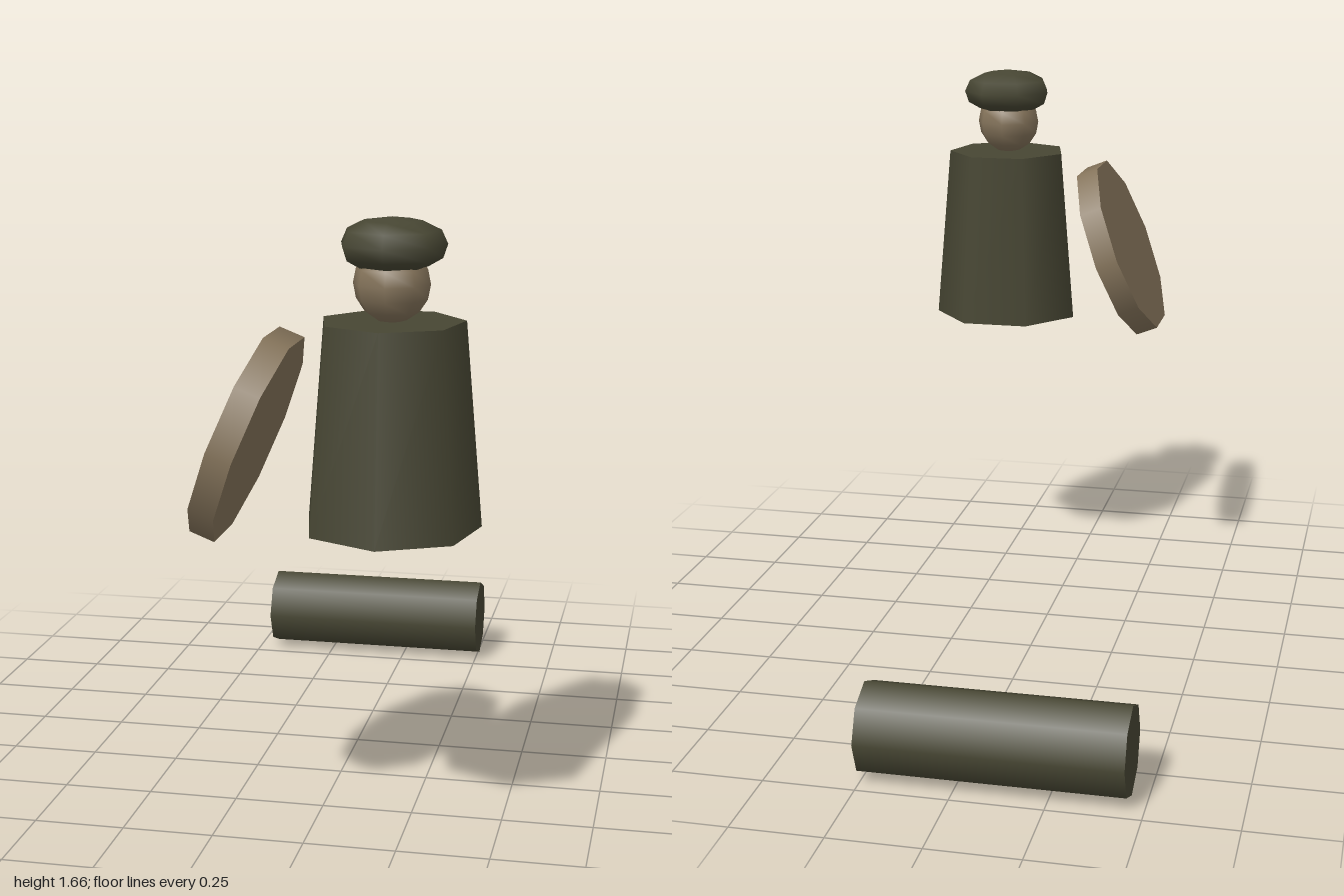
import * as THREE from 'three';

export function createModel() {
  const model = new THREE.Group();
  const olive = new THREE.MeshStandardMaterial({ name: 'dark olive', color: 0x474633 });
  const tan = new THREE.MeshStandardMaterial({ name: 'tan', color: 0x84735a });

  const add = (parent, name, geometry, material, x, y, z, turn = 0) => {
    const mesh = new THREE.Mesh(geometry, material);
    mesh.name = name;
    mesh.position.set(x, y, z);
    mesh.rotation.z = turn;
    parent.add(mesh);
    return mesh;
  };

  // Standing figure: seven-sided coat, round head, flattened cap
  const figure = new THREE.Group();
  figure.name = 'figure';
  figure.position.set(0.227, 0, 0.71);
  model.add(figure);
  add(figure, 'coat', new THREE.CylinderGeometry(0.187, 0.232, 0.53, 7), olive, 0, 1.139, 0);
  add(figure, 'head', new THREE.SphereGeometry(0.098, 8, 8), tan, 0, 1.498, 0.003);

  const capProfile = [
    [0, 1.535], [0.09, 1.54], [0.126, 1.56], [0.138, 1.595],
    [0.122, 1.63], [0.075, 1.653], [0, 1.663],
  ].map(([r, y]) => new THREE.Vector2(r, y));
  add(figure, 'cap', new THREE.LatheGeometry(capProfile, 7), olive, 0, 0, 0);

  // Ten-sided disc leaning toward the figure
  add(model, 'disc', new THREE.CylinderGeometry(0.286, 0.286, 0.07, 10), tan,
    -0.147, 1.101, 0.714, THREE.MathUtils.degToRad(-111.5));

  // Eight-sided roll lying behind
  add(model, 'roll', new THREE.CylinderGeometry(0.125, 0.125, 0.71, 8), olive,
    -0.1, 0.125, -0.875, Math.PI / 2);

  return model;
}
